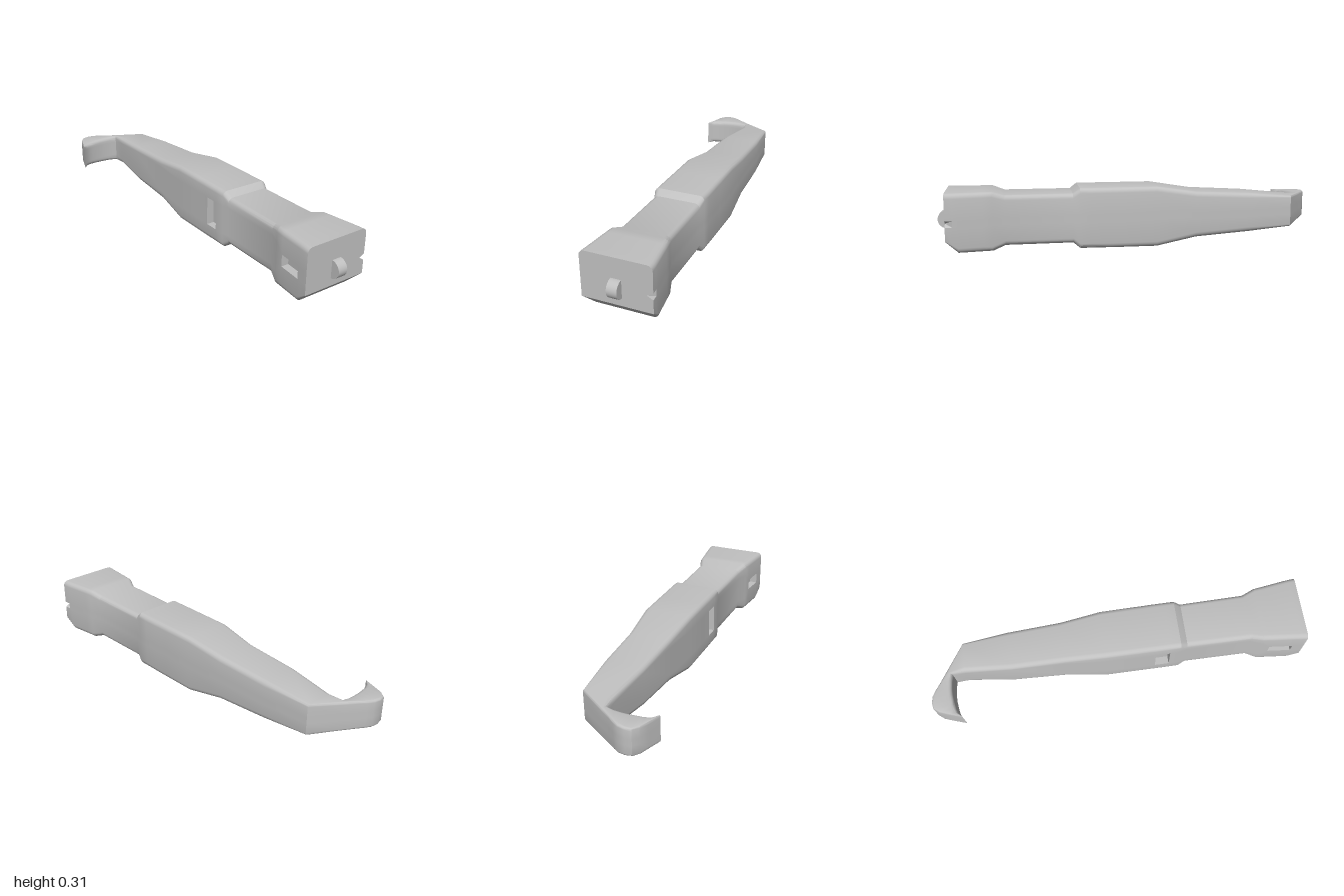
import * as THREE from 'three';
import { toCreasedNormals } from 'three/addons/utils/BufferGeometryUtils.js';

const ARC = 4;      // segments per rounded corner
const MID = 0.155;  // height of the centre line
const BOTTOM = 5, RIGHT = 12, LEFT = 24; // ring segments that can be opened

// Handle section: straight across x at a given z
const across = (z, x0, x1, y0, y1, o = {}) => ({ a: [x0, z], b: [x1, z], y0, y1, ri: 0.026, ro: 0.026, slot: 0.075, ...o });
// Hook section: from an inner to an outer point in plan
const bend = (ax, az, bx, bz, y0, y1) => ({ a: [ax, az], b: [bx, bz], y0, y1, ri: 0.02, ro: 0.012, slot: 0.04 });

const SECTIONS = [
  across(0.955, -0.103, 0.243, 0.07, 0.302, { slot: 0.03, bottom: 0.1, open: RIGHT }),
  across(0.92, -0.1, 0.24, 0.035, 0.302, { slot: 0.03, bottom: 0.6 }),
  across(0.895, -0.097, 0.237, 0.009, 0.302, { slot: 0.03, open: LEFT }),
  across(0.775, -0.085, 0.22, 0.009, 0.302, { slot: 0.03 }),
  across(0.73, -0.08, 0.214, 0.009, 0.302),
  across(0.67, -0.056, 0.194, 0.031, 0.282),
  across(0.335, -0.053, 0.19, 0.031, 0.282),
  across(0.3, -0.063, 0.2, 0.003, 0.308),
  across(0.245, -0.063, 0.2, 0.003, 0.308, { open: LEFT }),
  across(0.17, -0.063, 0.2, 0.002, 0.308),
  across(0.14, -0.062, 0.199, 0.001, 0.308, { open: BOTTOM }),
  across(0.085, -0.062, 0.199, 0.001, 0.308),
  across(-0.09, -0.061, 0.197, 0, 0.308),
  across(-0.3, -0.043, 0.18, 0.038, 0.275),
  across(-0.58, -0.036, 0.17, 0.055, 0.26),
  across(-0.82, -0.011, 0.145, 0.074, 0.238, { ro: 0.012 }),
  bend(-0.013, -0.885, 0, -0.917, 0.078, 0.232),
  bend(-0.05, -0.891, -0.055, -0.953, 0.08, 0.23),
  bend(-0.09, -0.893, -0.085, -0.975, 0.081, 0.229),
  bend(-0.12, -0.892, -0.115, -0.993, 0.082, 0.228),
  bend(-0.15, -0.888, -0.15, -1, 0.084, 0.227),
  bend(-0.175, -0.884, -0.182, -0.994, 0.085, 0.225),
  bend(-0.197, -0.878, -0.205, -0.965, 0.086, 0.224),
  bend(-0.218, -0.869, -0.222, -0.92, 0.087, 0.222),
  bend(-0.241, -0.853, -0.245, -0.85, 0.088, 0.221),
];

// Rounded rectangle, anticlockwise seen from the front, with extra points for openings
function ring({ a, b, y0, y1, ri, ro, slot, bottom = 1 }) {
  const A = new THREE.Vector2(...a), B = new THREE.Vector2(...b);
  const length = A.distanceTo(B), pts = [];
  const put = (s, y) => {
    const p = A.clone().lerp(B, s / length);
    pts.push(new THREE.Vector3(p.x, y, p.y));
  };
  const corner = (right, top, start) => {
    const r = (right ? ro : ri) * (top ? 1 : bottom), rs = Math.min(r, length * 0.45);
    for (let i = 0; i <= ARC; i++) {
      const t = start + (i / ARC) * Math.PI / 2;
      put((right ? length - rs : rs) + rs * Math.cos(t), (top ? y1 - r : y0 + r) + r * Math.sin(t));
    }
  };
  corner(false, false, Math.PI);
  put(length * 0.465 - length * 0.14, y0);
  put(length * 0.435, y0);
  corner(true, false, Math.PI * 1.5);
  put(length, MID - 0.016);
  put(length, MID + 0.016);
  corner(true, true, 0);
  corner(false, true, Math.PI / 2);
  put(0, Math.min(y1 - ri - 0.002, MID + slot));
  put(0, Math.max(y0 + ri * bottom + 0.002, MID - slot));
  return pts;
}

function bodyGeometry() {
  const pos = [];
  const tri = (...ps) => ps.forEach((p) => pos.push(p.x, p.y, p.z));
  const quad = (p, q, r, s) => { tri(p, q, s); tri(s, q, r); };
  const recess = (corners, inward) => {
    const deep = corners.map((p) => p.clone().add(inward));
    corners.forEach((p, i) => quad(p, corners[(i + 1) % 4], deep[(i + 1) % 4], deep[i]));
    quad(...deep);
  };
  const rings = SECTIONS.map(ring), n = rings[0].length;
  const apex = new THREE.Vector3(0.213, MID, 0.955);

  // Skin between neighbouring sections, with slots and the edge notch left open
  for (let i = 0; i < rings.length - 1; i++) {
    const a = rings[i], b = rings[i + 1];
    for (let j = 0; j < n; j++) {
      const k = (j + 1) % n, corners = [a[j], b[j], b[k], a[k]];
      if (SECTIONS[i].open !== j) quad(...corners);
      else if (j === LEFT) recess(corners, new THREE.Vector3(0.04, 0, 0));
      else if (j === BOTTOM) recess(corners, new THREE.Vector3(0, 0.03, 0));
      else {
        tri(a[j], b[j], apex);
        tri(b[j], b[k], apex);
        tri(b[k], a[k], apex);
      }
    }
  }

  // Front face, cut by the notch
  const front = [...rings[0]];
  front.splice(RIGHT + 1, 0, apex);
  const outline = front.map((p) => new THREE.Vector2(p.x, p.y));
  THREE.ShapeUtils.triangulateShape(outline, []).forEach((f) => tri(...f.map((i) => front[i])));

  // Hook tip
  const tip = rings[rings.length - 1];
  for (let j = 1; j < n - 1; j++) tri(tip[0], tip[j + 1], tip[j]);

  const geo = new THREE.BufferGeometry();
  geo.setAttribute('position', new THREE.Float32BufferAttribute(pos, 3));
  return toCreasedNormals(geo, THREE.MathUtils.degToRad(28));
}

export function createModel() {
  const group = new THREE.Group();
  const grey = new THREE.MeshStandardMaterial({ color: 0xc0c0c0 });
  grey.name = 'grey';

  // Handle flowing into the hook
  const body = new THREE.Mesh(bodyGeometry(), grey);
  body.name = 'handleAndHook';
  group.add(body);

  // Round tab half sunk into the front face
  const tab = new THREE.Mesh(new THREE.CylinderGeometry(0.045, 0.045, 0.05, 40), grey);
  tab.name = 'frontTab';
  tab.rotation.z = Math.PI / 2;
  tab.position.set(0.07, MID, 0.955);
  group.add(tab);

  return group;
}
